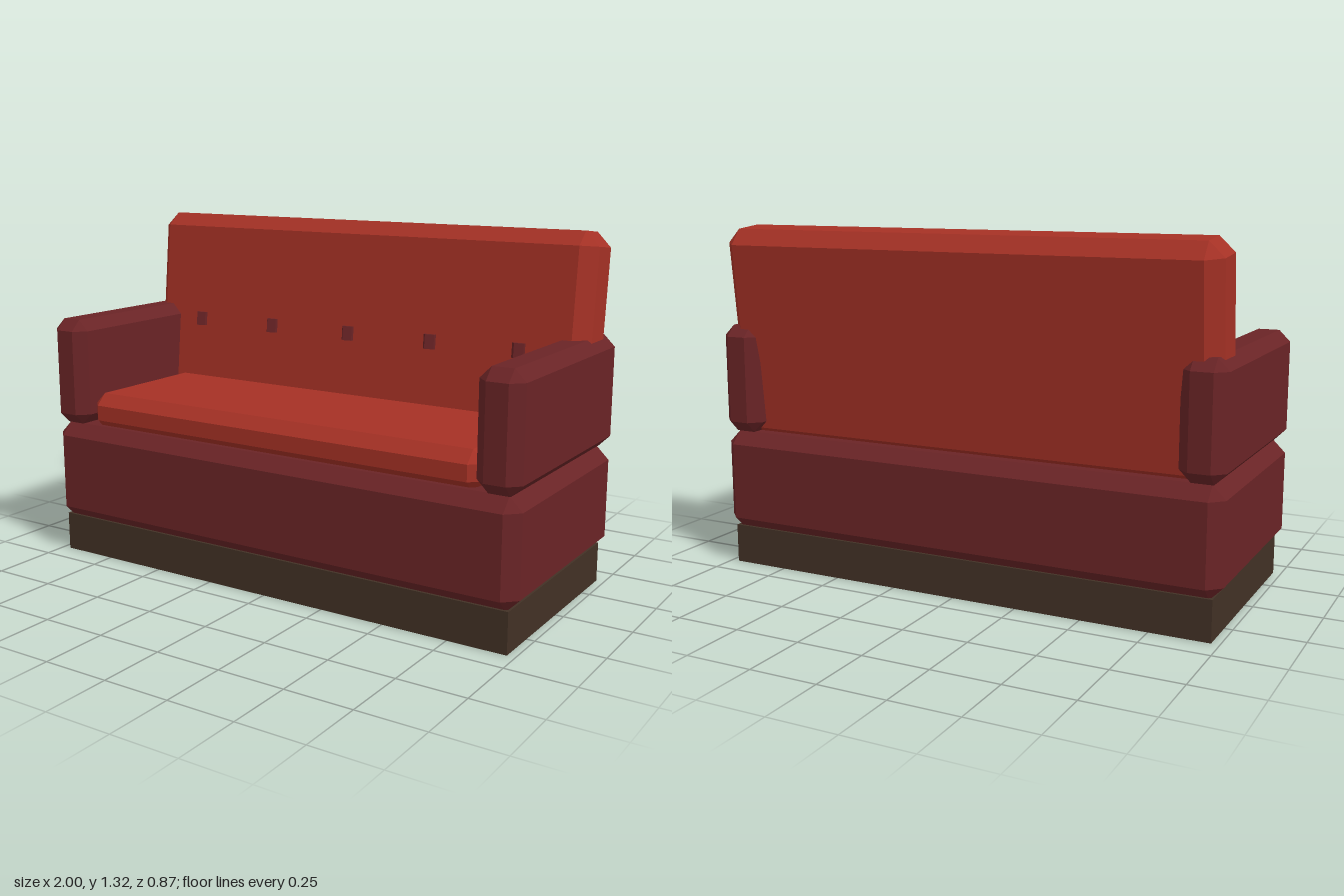
import * as THREE from 'three';
import { ConvexGeometry } from 'three/addons/geometries/ConvexGeometry.js';

// Box with every edge cut at 45 degrees and triangular corners
function chamferBox(w, h, d, b) {
  const half = [w / 2, h / 2, d / 2];
  const points = [];
  for (const sx of [-1, 1]) for (const sy of [-1, 1]) for (const sz of [-1, 1]) {
    for (let full = 0; full < 3; full++) {
      const p = [sx, sy, sz].map((s, i) => s * (half[i] - (i === full ? 0 : b)));
      points.push(new THREE.Vector3(...p));
    }
  }
  return new ConvexGeometry(points);
}

export function createModel() {
  const group = new THREE.Group();
  group.name = 'sofa';

  const material = (name, color) => {
    const m = new THREE.MeshStandardMaterial({ color });
    m.name = name;
    return m;
  };
  const red = material('red upholstery', 0xa53125);
  const burgundy = material('burgundy upholstery', 0x6a2426);
  const brown = material('dark brown plinth', 0x423125);

  const add = (name, geometry, mat, x, y, z) => {
    const mesh = new THREE.Mesh(geometry, mat);
    mesh.name = name;
    mesh.position.set(x, y, z);
    group.add(mesh);
    return mesh;
  };

  // Plinth and seat base
  add('plinth', new THREE.BoxGeometry(1.94, 0.15, 0.808), brown, 0, 0.075, 0.003);
  add('seatBase', chamferBox(2, 0.39, 0.864, 0.048), burgundy, 0, 0.335, 0.003);

  // Seat cushion, tucked under the backrest
  add('seatCushion', chamferBox(1.69, 0.145, 0.64, 0.043), red, 0, 0.5825, 0.07);

  // Arms
  const arm = chamferBox(0.162, 0.415, 0.864, 0.042);
  add('leftArm', arm, burgundy, 0.919, 0.7375, 0.003);
  add('rightArm', arm, burgundy, -0.919, 0.7375, 0.003);

  // Reclined backrest
  const back = add('backrest', chamferBox(1.94, 0.82, 0.221, 0.054), red, 0, 0.9095, -0.287);
  back.rotation.x = -0.104;

  // Row of five-sided buttons on the backrest
  const button = new THREE.CylinderGeometry(0.03, 0.03, 0.055, 5, 1, false, -Math.PI / 2).toNonIndexed();
  button.computeVertexNormals();
  for (let i = -2; i <= 2; i++) {
    add('button', button, burgundy, i * 0.36, 0.893, -0.178).rotation.x = -0.104;
  }

  return group;
}
